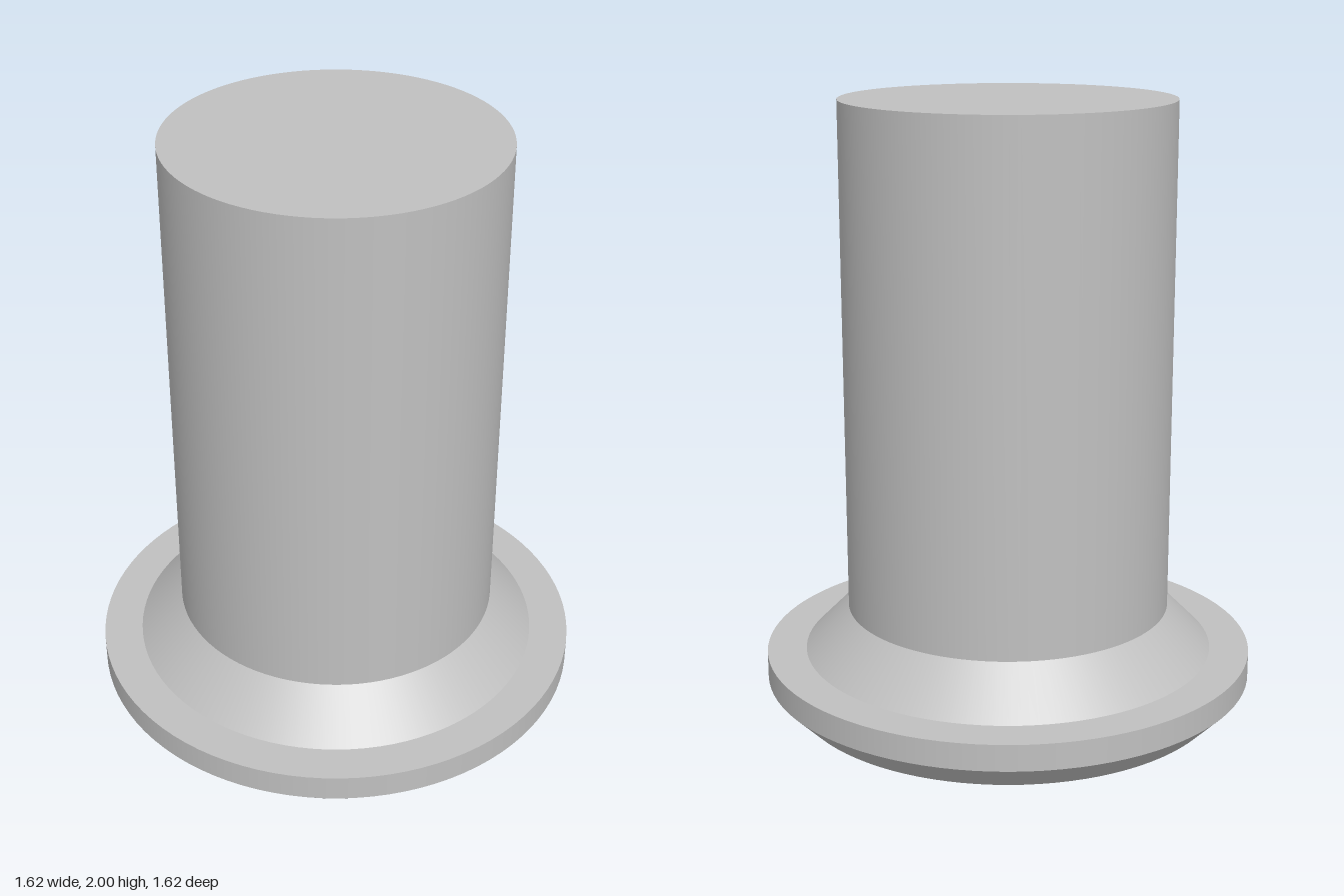
import * as THREE from 'three';
import { mergeGeometries } from 'three/addons/utils/BufferGeometryUtils.js';

const SEGMENTS = 96;

// Revolve a profile one band at a time, so it is smooth around the axis with sharp rings between bands.
function sharpLathe(profile) {
  const points = profile.map(([r, y]) => new THREE.Vector2(r, y));
  const bands = [];
  for (let i = 0; i < points.length - 1; i++) {
    bands.push(new THREE.LatheGeometry([points[i], points[i + 1]], SEGMENTS));
  }
  return mergeGeometries(bands);
}

export function createModel() {
  const group = new THREE.Group();
  group.name = 'flangedPin';
  const steel = new THREE.MeshStandardMaterial({ color: 0xc0c0c0 });
  steel.name = 'grey steel';

  const add = (name, profile) => {
    const mesh = new THREE.Mesh(sharpLathe(profile), steel);
    mesh.name = name;
    group.add(mesh);
  };

  // Flange: flat underside, chamfer, upright rim and flat shoulder
  add('flange', [[0, 0], [0.725, 0], [0.812, 0.088], [0.812, 0.175], [0.682, 0.175]]);
  // Conical collar between flange and shank
  add('collar', [[0.682, 0.175], [0.537, 0.322]]);
  // Shank with flat top
  add('shank', [[0.537, 0.322], [0.537, 2], [0, 2]]);

  return group;
}
